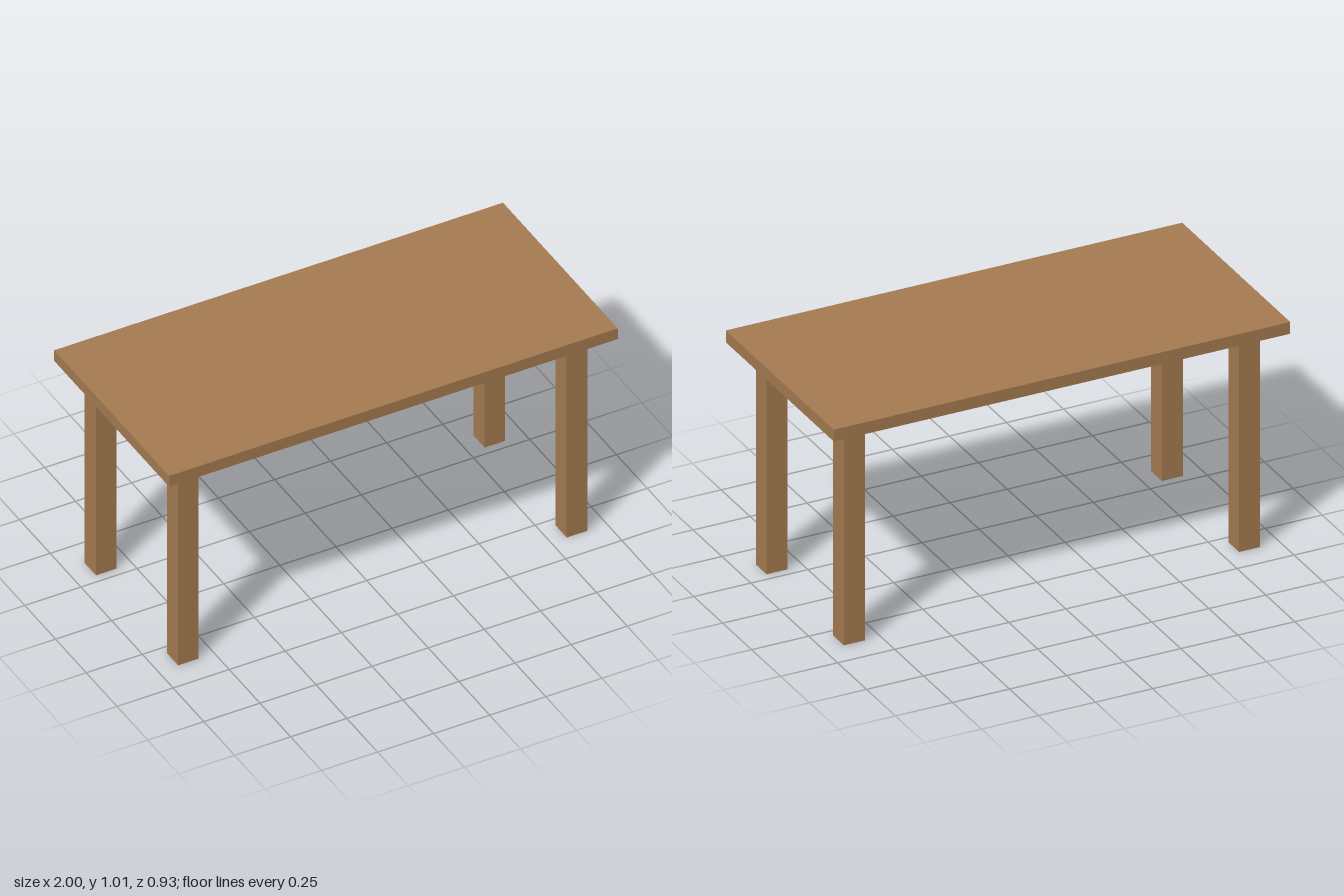
import * as THREE from 'three';

const WOOD = new THREE.MeshStandardMaterial({ color: 0xa67c52 });
const HEIGHT = 1.014, TOP_THICKNESS = 0.052, LEG_WIDTH = 0.092;
const LEG_HEIGHT = HEIGHT - TOP_THICKNESS;

function box(name, size, position) {
  const mesh = new THREE.Mesh(new THREE.BoxGeometry(...size), WOOD);
  mesh.name = name;
  mesh.position.set(...position);
  return mesh;
}

export function createModel() {
  const table = new THREE.Group();
  table.name = 'table';

  // Flat rectangular top
  table.add(box('tableTop', [2, TOP_THICKNESS, 0.934], [0, HEIGHT - TOP_THICKNESS / 2, 0]));

  // Four square legs, set in from the corners
  for (const [xName, x] of [['Left', 0.866], ['Right', -0.866]]) {
    for (const [zName, z] of [['front', 0.334], ['back', -0.334]]) {
      table.add(box(`${zName}${xName}Leg`, [LEG_WIDTH, LEG_HEIGHT, LEG_WIDTH], [x, LEG_HEIGHT / 2, z]));
    }
  }
  return table;
}
